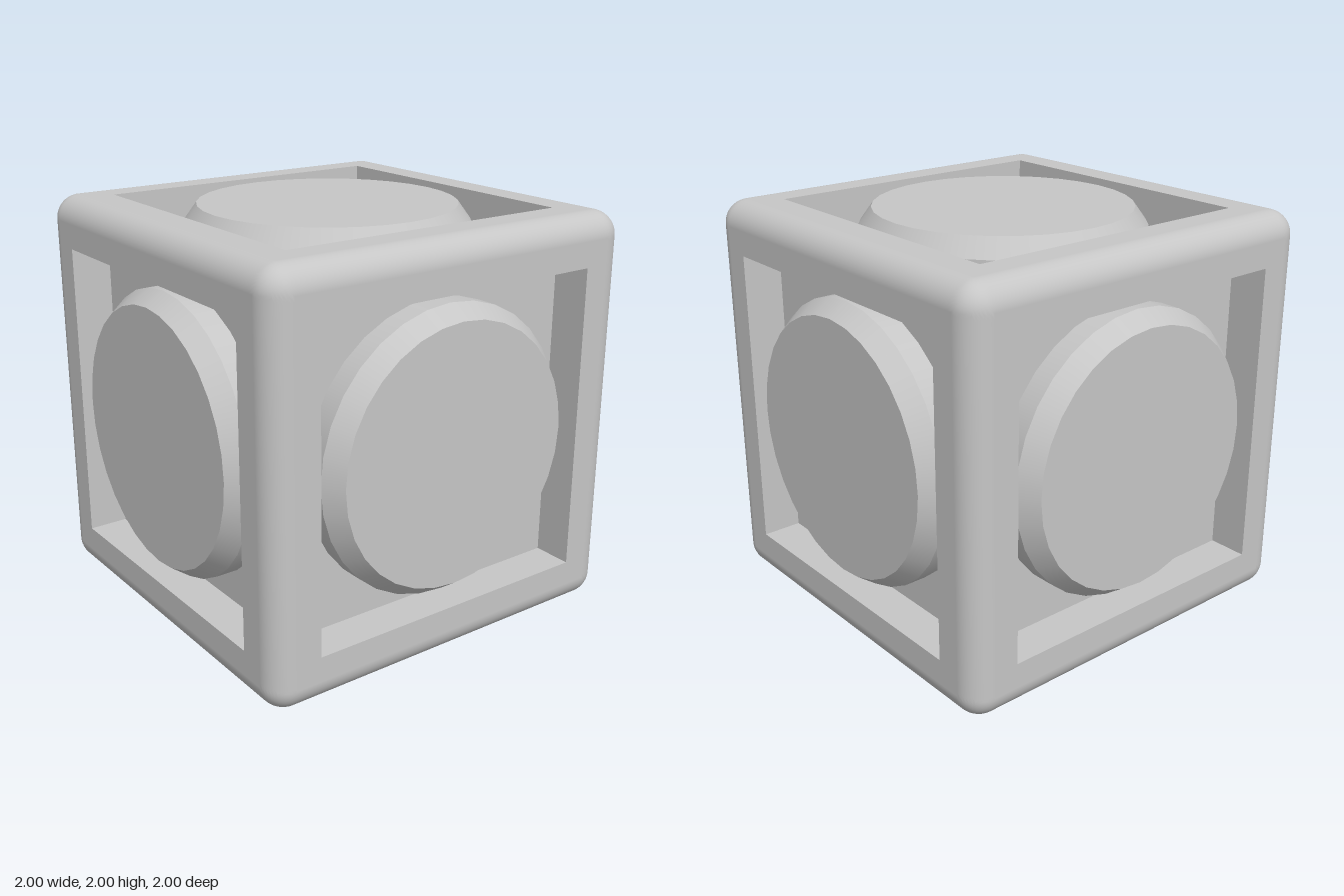
import * as THREE from 'three';

const R = 0.12;        // edge rounding of the frame
const HALF = 0.998;    // frame half size
const WINDOW = 0.755;  // window half size
const FLOOR = 0.8;     // distance of the recessed floor from the centre

// One rounded side of the frame with a square opening, facing +y,
// built from square loops that run outward to the cube edges.
function frameSideGeometry() {
  const steps = 6, flat = HALF - R, levels = [WINDOW], along = [];
  for (let i = 0; i <= steps; i++) {
    const h = flat + R * Math.tan((i / steps) * Math.PI / 4);
    levels.push(h);
    along.push(h / HALF);
  }
  const v = [...along.map(a => -a).reverse(), ...along];
  const positions = [], normals = [], index = [];
  const clamp = n => Math.max(-flat, Math.min(flat, n));
  for (const h of levels) {
    for (let side = 0; side < 4; side++) {
      for (const t of v) {
        let x = h, z = -h * t;
        for (let k = 0; k < side; k++) [x, z] = [z, -x];
        const p = new THREE.Vector3(x, HALF, z);
        const c = new THREE.Vector3(clamp(x), flat, clamp(z));
        const n = p.sub(c).normalize();
        c.addScaledVector(n, R);
        positions.push(c.x, c.y, c.z);
        normals.push(n.x, n.y, n.z);
      }
    }
  }
  const count = v.length * 4;
  for (let l = 0; l < levels.length - 1; l++) {
    for (let i = 0; i < count; i++) {
      const j = (i + 1) % count;
      const a = l * count + i, a2 = l * count + j;
      const b = a + count, b2 = a2 + count;
      index.push(a, b, a2, b, b2, a2);
    }
  }
  const g = new THREE.BufferGeometry();
  g.setAttribute('position', new THREE.Float32BufferAttribute(positions, 3));
  g.setAttribute('normal', new THREE.Float32BufferAttribute(normals, 3));
  g.setIndex(index);
  return g;
}

// Four inward-facing walls of a window
function windowWallGeometry() {
  const r = WINDOW * Math.SQRT2, depth = HALF - FLOOR;
  const g = new THREE.CylinderGeometry(r, r, depth, 4, 1, true).toNonIndexed();
  g.rotateY(Math.PI / 4);
  g.translate(0, FLOOR + depth / 2, 0);
  // turn the tube inside out
  const p = g.attributes.position;
  for (let i = 0; i < p.count; i++) p.setX(i, -p.getX(i));
  g.computeVertexNormals();
  return g;
}

export function createModel() {
  const model = new THREE.Group();
  model.name = 'framedCube';
  const grey = new THREE.MeshStandardMaterial({ color: 0xc6c6c6 });
  grey.name = 'plain grey';

  const add = (parent, name, geometry) => {
    const mesh = new THREE.Mesh(geometry, grey);
    mesh.name = name;
    parent.add(mesh);
    return mesh;
  };

  // Inner block forms the floor of every recess
  const body = new THREE.Group();
  body.name = 'body';
  body.position.y = 1;
  model.add(body);
  add(body, 'core', new THREE.BoxGeometry(FLOOR * 2, FLOOR * 2, FLOOR * 2));

  // Chamfered round button
  const chamfer = 0.09, top = 1, shoulder = top - chamfer;
  const frameGeo = frameSideGeometry();
  const wallGeo = windowWallGeometry();
  const capGeo = new THREE.CylinderGeometry(0.63, 0.695, chamfer, 32);
  capGeo.translate(0, top - chamfer / 2, 0);
  const stemGeo = new THREE.CylinderGeometry(0.695, 0.695, shoulder - FLOOR, 32, 1, true);
  stemGeo.translate(0, (shoulder + FLOOR) / 2, 0);

  const q = Math.PI / 2;
  const sides = [
    ['top', 0, 0], ['bottom', Math.PI, 0], ['front', q, 0],
    ['back', -q, 0], ['left', 0, -q], ['right', 0, q],
  ];
  for (const [name, rx, rz] of sides) {
    const side = new THREE.Group();
    side.name = name + 'Side';
    side.rotation.set(rx, 0, rz);
    add(side, 'frame', frameGeo);
    add(side, 'windowWalls', wallGeo);
    add(side, 'buttonCap', capGeo);
    add(side, 'buttonStem', stemGeo);
    body.add(side);
  }
  return model;
}
